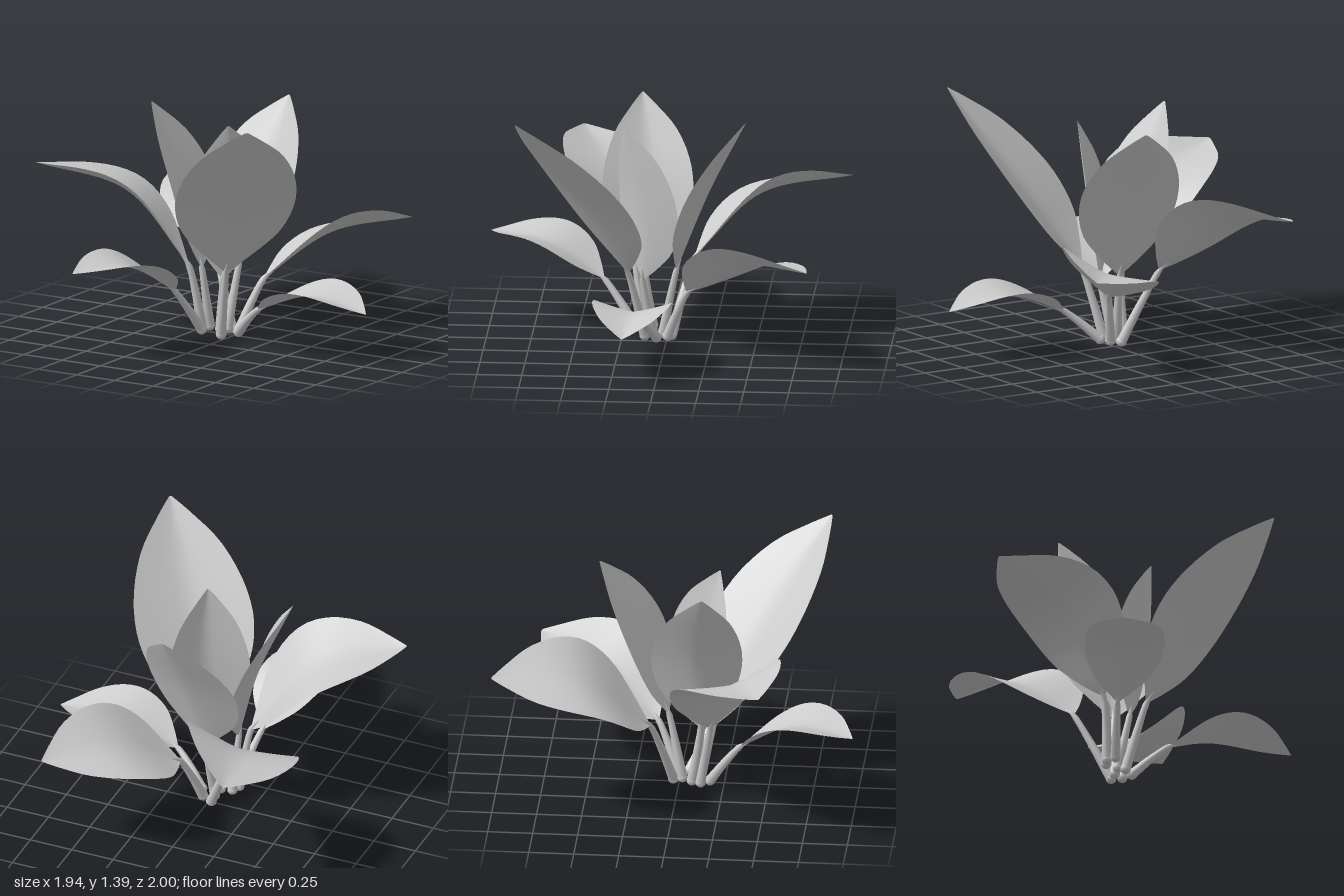
import * as THREE from 'three';

const V = (p) => new THREE.Vector3(...p);
const leafMaterial = new THREE.MeshStandardMaterial({ color: 0xcccccc, side: THREE.DoubleSide });
const stemMaterial = new THREE.MeshStandardMaterial({ color: 0xcccccc });

// root: foot of the stalk; base, mid, tip: midrib of the blade;
// width: greatest half width; tilt: roll of the blade; cup: how far the edges fold up
const LEAVES = [
  { name: 'backRightLeaf', root: [-0.03, 0.03, -0.03], base: [-0.21, 0.44, -0.15], mid: [-0.4, 0.75, -0.5], tip: [-0.52, 0.83, -1.0], width: 0.33, tilt: 0.36, cup: 0.18 },
  { name: 'backLeftLeaf', root: [0.03, 0.04, -0.01], base: [0.12, 0.32, -0.13], mid: [0.35, 0.54, -0.46], tip: [0.65, 0.59, -0.82], width: 0.285, tilt: 0.36, cup: 0.2 },
  { name: 'leftLowLeaf', root: [0.06, 0.04, 0.05], base: [0.25, 0.21, 0.14], mid: [0.6, 0.33, 0.15], tip: [0.97, 0.28, 0.18], width: 0.22, tilt: 0, cup: 0.26 },
  { name: 'frontLeftLeaf', root: [-0.01, 0.03, 0.12], base: [0.08, 0.42, 0.21], mid: [0.31, 0.88, 0.46], tip: [0.58, 1.39, 0.8], width: 0.335, tilt: 0, cup: 0.2 },
  { name: 'frontLowLeaf', root: [-0.1, 0.06, 0.18], base: [-0.17, 0.31, 0.36], mid: [-0.27, 0.49, 0.67], tip: [-0.43, 0.5, 1.0], width: 0.22, tilt: 0.03, cup: 0.26 },
  { name: 'rightLeaf', root: [-0.13, 0.06, 0.13], base: [-0.18, 0.42, 0.19], mid: [-0.5, 0.83, 0.32], tip: [-0.97, 0.97, 0.52], width: 0.31, tilt: -0.17, cup: 0.2 },
  { name: 'backUprightLeaf', root: [-0.03, 0.04, 0.02], base: [0, 0.42, -0.06], mid: [0.03, 0.87, -0.24], tip: [0.08, 1.29, -0.45], width: 0.29, tilt: 0, cup: 0.2 },
  { name: 'rightUprightLeaf', root: [-0.11, 0.06, 0.08], base: [-0.13, 0.4, 0.13], mid: [-0.25, 0.85, 0.12], tip: [-0.44, 1.31, 0.16], width: 0.25, tilt: 0, cup: 0.22 },
  { name: 'centreUprightLeaf', root: [-0.04, 0.05, 0.08], base: [0.01, 0.36, 0.13], mid: [0.08, 0.8, 0.14], tip: [0.1, 1.25, 0.22], width: 0.24, tilt: 0, cup: 0.25 },
];

// half width along the blade, from the stalk to the pointed tip
const OUTLINE = new THREE.SplineCurve(
  [[0, 0.05], [0.1, 0.42], [0.24, 0.82], [0.42, 1], [0.6, 0.95], [0.78, 0.69], [0.92, 0.29], [1, 0.02]]
    .map(([t, w]) => new THREE.Vector2(t, w)),
);

// Blade: rows of points across a curved midrib, edges folded upwards
function bladeGeometry({ base, tip, width, tilt, cup }, midrib) {
  const rows = 24, cols = 10, positions = [], index = [];
  const out = V(tip).sub(V(base)).setY(0).normalize();
  const across = new THREE.Vector3(-out.z, tilt, out.x).normalize();
  for (let i = 0; i <= rows; i++) {
    const { x: t, y: w } = OUTLINE.getPoint(i / rows);
    const u = THREE.MathUtils.clamp(t, 0, 1);
    const centre = midrib.getPoint(u);
    const along = midrib.getTangent(u);
    const side = across.clone().addScaledVector(along, -across.dot(along)).normalize();
    const up = side.clone().cross(along);
    for (let j = 0; j <= cols; j++) {
      const s = (j / cols) * 2 - 1;
      const lift = cup * width * w * Math.abs(s) ** 1.25;
      const p = centre.clone().addScaledVector(side, s * w * width).addScaledVector(up, lift);
      positions.push(p.x, p.y, p.z);
      if (i < rows && j < cols) {
        const a = i * (cols + 1) + j, b = a + cols + 1;
        index.push(a, a + 1, b, a + 1, b + 1, b);
      }
    }
  }
  const geometry = new THREE.BufferGeometry();
  geometry.setAttribute('position', new THREE.Float32BufferAttribute(positions, 3));
  geometry.setIndex(index);
  geometry.computeVertexNormals();
  return geometry;
}

// Stalk: a gently bent tube that thins towards the blade and ends in its base
function stalkGeometry(root, base, midrib) {
  const bend = V(root).lerp(V(base), 0.6).addScaledVector(midrib.getTangent(0), -0.015);
  const path = new THREE.CatmullRomCurve3([V(root), bend, V(base), midrib.getPoint(0.07)]);
  const segments = 20, sides = 10;
  const geometry = new THREE.TubeGeometry(path, segments, 1, sides);
  const position = geometry.attributes.position;
  const p = new THREE.Vector3();
  for (let i = 0; i <= segments; i++) {
    const t = i / segments;
    const radius = t < 0.8 ? 0.029 - 0.015 * t : 0.017 * (1 - (t - 0.8) / 0.2) + 0.001;
    const centre = path.getPointAt(t);
    for (let j = 0; j <= sides; j++) {
      const k = i * (sides + 1) + j;
      p.fromBufferAttribute(position, k).sub(centre).multiplyScalar(radius).add(centre);
      position.setXYZ(k, p.x, p.y, p.z);
    }
  }
  geometry.computeBoundingSphere();
  return geometry;
}

function addMesh(group, name, geometry, material) {
  const mesh = new THREE.Mesh(geometry, material);
  mesh.name = name;
  group.add(mesh);
  return mesh;
}

export function createModel() {
  const plant = new THREE.Group();
  plant.name = 'plant';
  for (const spec of LEAVES) {
    const leaf = new THREE.Group();
    leaf.name = spec.name;
    const midrib = new THREE.CatmullRomCurve3([V(spec.base), V(spec.mid), V(spec.tip)]);
    addMesh(leaf, 'blade', bladeGeometry(spec, midrib), leafMaterial);
    addMesh(leaf, 'stalk', stalkGeometry(spec.root, spec.base, midrib), stemMaterial);
    // rounded foot of the stalk
    addMesh(leaf, 'stalkFoot', new THREE.SphereGeometry(0.03, 10, 8), stemMaterial).position.set(...spec.root);
    plant.add(leaf);
  }
  return plant;
}
